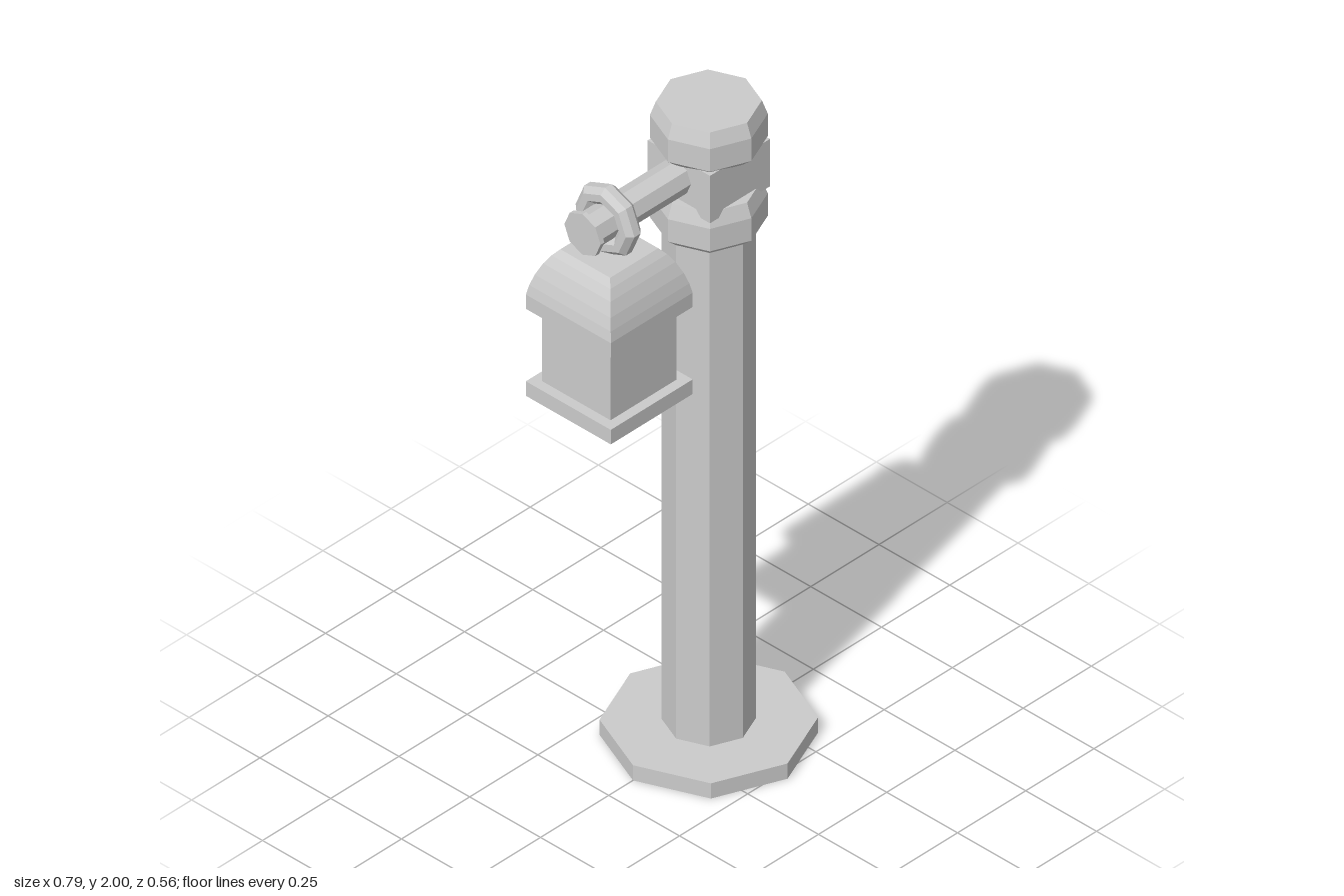
import * as THREE from 'three';

const material = new THREE.MeshStandardMaterial({ color: 0xcccccc, flatShading: true });

function add(parent, name, geometry, x, y, z = 0) {
  const mesh = new THREE.Mesh(geometry, material);
  mesh.name = name;
  mesh.position.set(x, y, z);
  parent.add(mesh);
  return mesh;
}

// Faceted solid from [radius, height] pairs listed from bottom to top
function turned(profile, sides = 8) {
  return new THREE.LatheGeometry(profile.map(([r, y]) => new THREE.Vector2(r, y)), sides);
}

export function createModel() {
  const model = new THREE.Group();
  model.name = 'lampPost';
  const postX = 0.117;

  // Post
  add(model, 'basePlate', new THREE.CylinderGeometry(0.278, 0.278, 0.048, 8), postX, 0.024);
  add(model, 'post', new THREE.CylinderGeometry(0.12, 0.12, 1.6, 8), postX, 0.83);

  // Matching collar and cap with a square block between them
  const collar = [[0, 0], [0.12, 0], [0.15, 0.027], [0.15, 0.098], [0.135, 0.14], [0, 0.14]];
  add(model, 'collar', turned(collar), postX, 1.608);
  add(model, 'cap', turned(collar), postX, 1.86);
  add(model, 'neckBlock', new THREE.BoxGeometry(0.22, 0.15, 0.22), postX, 1.803);

  // Arm reaching sideways, built upright and laid along x
  const arm = new THREE.Group();
  arm.name = 'arm';
  arm.position.set(0, 1.817, -0.007);
  model.add(arm);
  const bar = new THREE.CylinderGeometry(0.05, 0.05, 0.37, 8).rotateZ(Math.PI / 2);
  add(arm, 'armBar', bar, -0.145, 0);
  const stop = new THREE.CylinderGeometry(0.064, 0.064, 0.014, 8).rotateZ(Math.PI / 2);
  add(arm, 'endStop', stop, -0.332, 0);

  // Hanging ring around the arm, with an eight-sided section
  const section = [];
  for (let i = 0; i <= 8; i++) {
    const a = ((i - 0.5) * Math.PI) / 4;
    section.push([0.077 + 0.029 * Math.cos(a), 0.029 * Math.sin(a)]);
  }
  add(arm, 'hangingRing', turned(section).rotateZ(Math.PI / 2), -0.248, 0.003, 0.003);

  // Square lantern
  const lantern = new THREE.Group();
  lantern.name = 'lantern';
  lantern.position.set(-0.248, 1.265, 0);
  model.add(lantern);
  add(lantern, 'lanternBase', new THREE.BoxGeometry(0.3, 0.046, 0.3), 0, 0.023);
  add(lantern, 'lanternBody', new THREE.BoxGeometry(0.242, 0.25, 0.242), 0, 0.16);

  // Domed roof: half widths become corner radii of a four-sided turning
  const roof = [[0, 0.275], [0.15, 0.275], [0.15, 0.32], [0.144, 0.35], [0.134, 0.383],
    [0.119, 0.418], [0.104, 0.443], [0.088, 0.462], [0, 0.462]];
  const roofProfile = roof.map(([half, y]) => [half * Math.SQRT2, y]);
  add(lantern, 'lanternRoof', turned(roofProfile, 4).rotateY(Math.PI / 4), 0, 0);

  return model;
}
